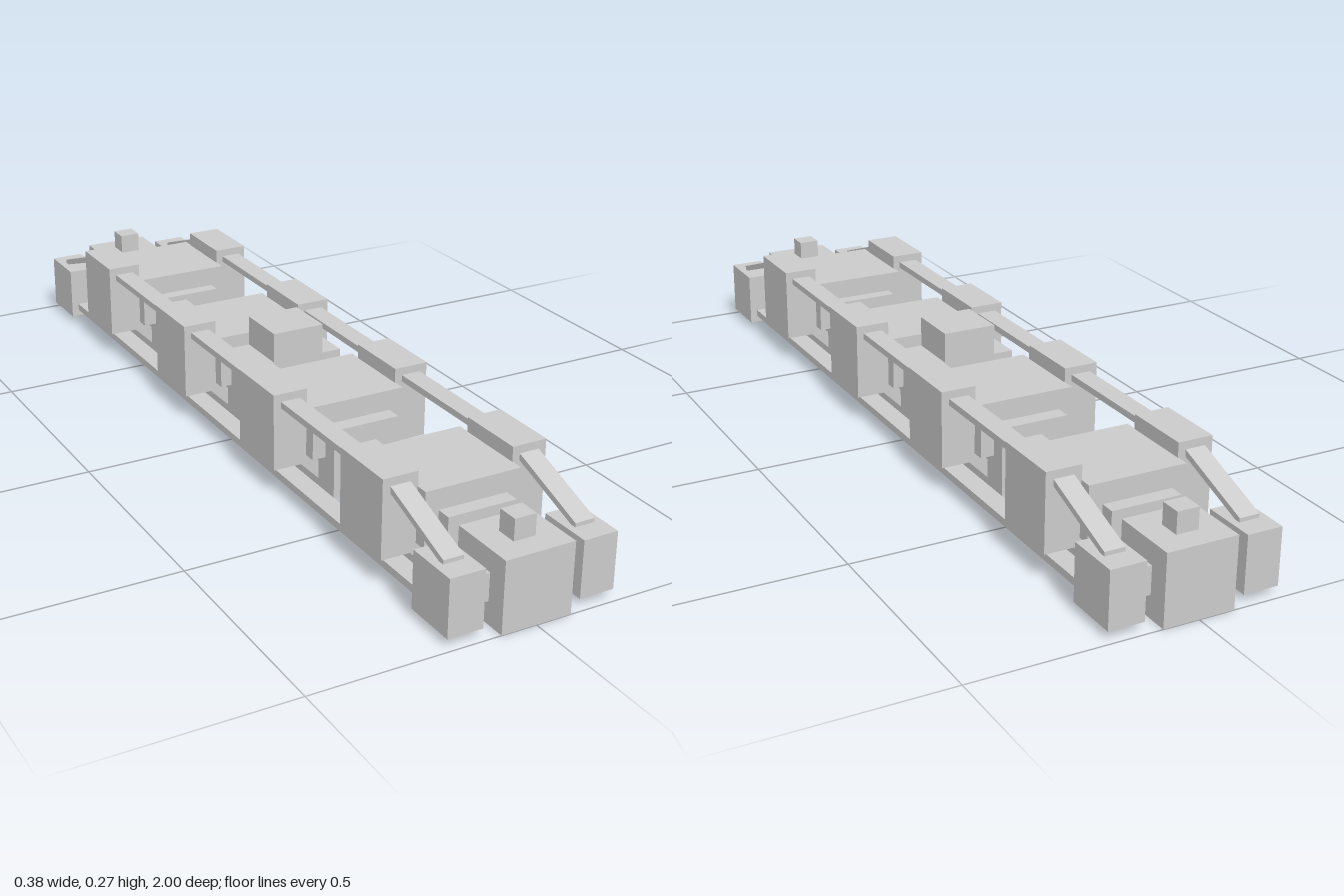
import * as THREE from 'three';

const material = new THREE.MeshStandardMaterial({ color: 0xcccccc, flatShading: true });

export function createModel() {
  const model = new THREE.Group();

  function add(name, geometry) {
    const mesh = new THREE.Mesh(geometry, material);
    mesh.name = name;
    model.add(mesh);
    return mesh;
  }

  // Box given by its lower and upper limits on each axis
  function box(name, [x0, x1], [y0, y1], [z0, z1]) {
    const mesh = add(name, new THREE.BoxGeometry(x1 - x0, y1 - y0, z1 - z0));
    mesh.position.set((x0 + x1) / 2, (y0 + y1) / 2, (z0 + z1) / 2);
  }

  const around = (centre, half) => [centre - half, centre + half];
  const polygon = (points) => new THREE.Shape(points.map(([x, y]) => new THREE.Vector2(x, y)));
  const extrude = (points, depth) =>
    new THREE.ExtrudeGeometry(polygon(points), { depth, bevelEnabled: false })
      .translate(0, 0, -depth / 2);

  // Spine and lower hulls
  box('spine', around(0, 0.03), [0.045, 0.112], around(0, 0.9));
  box('middleHull', around(0, 0.08), [0, 0.16], around(0, 0.368));

  // Centre section with raised block
  box('centreBody', around(0, 0.11), [0.08, 0.2], around(0, 0.062));
  box('centreBlock', around(0, 0.063), [0.15, 0.27], around(0, 0.062));

  // End blocks with their crossbars and top knobs
  for (const end of [1, -1]) {
    box('endHull', around(0, 0.08), [0, 0.16], around(end * 0.667, 0.142));
    box('endBlock', around(0, 0.08), [0, 0.16], around(end * 0.9225, 0.0775));
    box('endKnob', around(0, 0.025), [0.15, 0.208], around(end * 0.923, 0.024));
    box('endCrossbar', around(0, 0.13), [0.05, 0.112], around(end * 0.923, 0.03));
    for (const side of [1, -1])
      box('cornerBlock', around(side * 0.152, 0.04), [0.017, 0.145], around(end * 0.923, 0.062));
  }

  // Four main bodies, each with a tower and two slanted struts per side
  for (const z of [0.666, 0.222, -0.222, -0.666]) {
    box('mainBody', around(0, 0.112), [0.082, 0.207], around(z, 0.109));
    for (const side of [1, -1]) {
      box('sideTower', around(side * 0.151, 0.0405), [0.063, 0.24], around(z, 0.08));
      for (const dz of [0.055, -0.055]) {
        const strut = add('strut', extrude(
          [[0.078, 0.016], [0.128, 0.066], [0.11, 0.085], [0.078, 0.06]], 0.048));
        if (side < 0) strut.rotation.y = Math.PI;
        strut.position.z = z + dz;
      }
    }
  }

  // Long rails: the upper one slopes down to the corner blocks
  const upperProfile = [
    [-0.935, 0.14], [-0.745, 0.207], [0.745, 0.207], [0.935, 0.14],
    [0.935, 0.154], [0.745, 0.222], [-0.745, 0.222], [-0.935, 0.154],
  ];
  for (const side of [1, -1]) {
    const rail = add('upperRail', extrude(upperProfile, 0.046));
    rail.rotation.y = -Math.PI / 2;
    rail.position.x = side * 0.151;
    box('lowerRail', around(side * 0.151, 0.023), [0.033, 0.05], around(0, 0.88));
  }

  return model;
}
